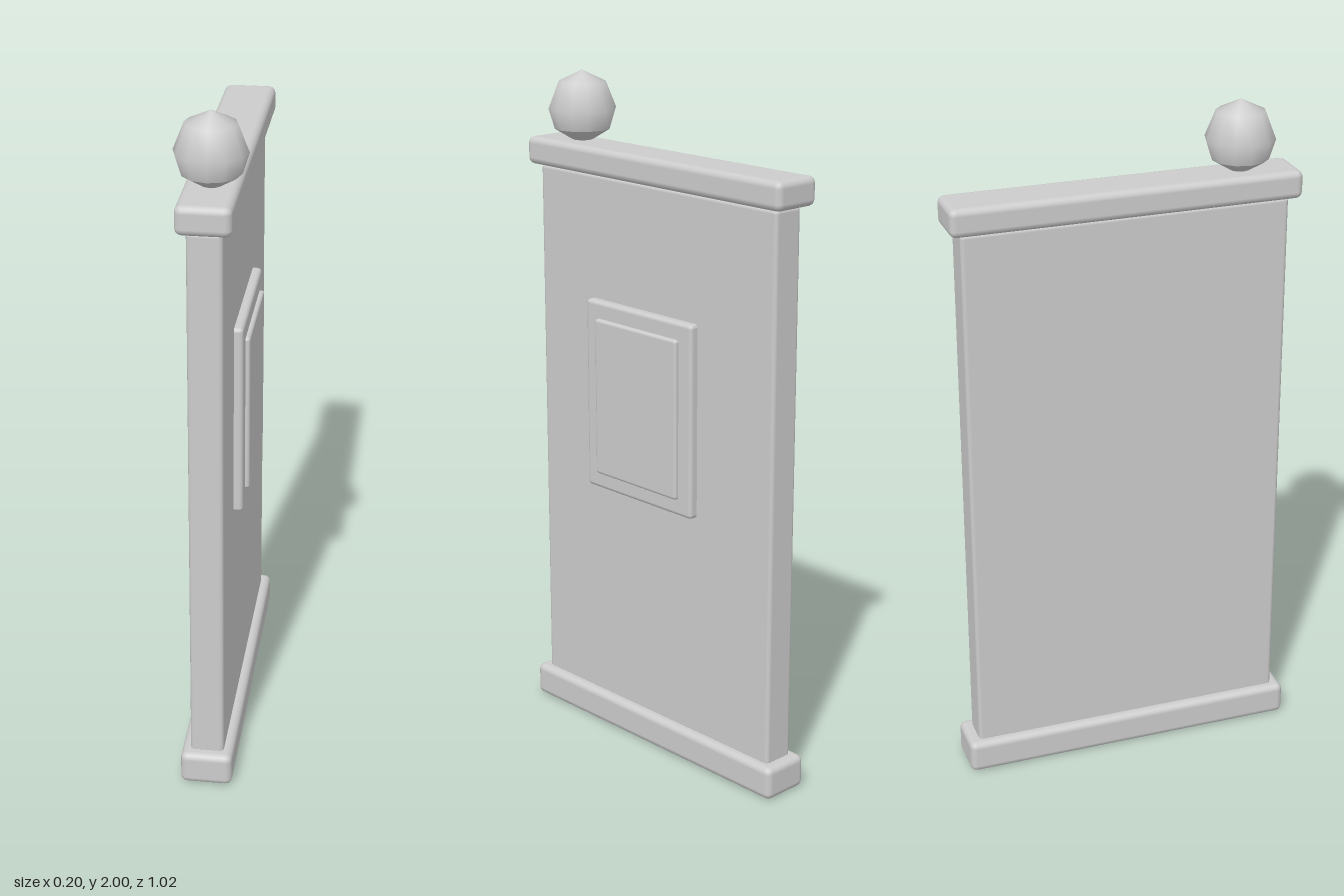
import * as THREE from 'three';
import { RoundedBoxGeometry } from 'three/addons/geometries/RoundedBoxGeometry.js';

export function createModel() {
  const group = new THREE.Group();
  const stone = new THREE.MeshStandardMaterial({ color: 0xcccccc });
  stone.name = 'pale grey';

  const add = (name, geometry) => {
    const mesh = new THREE.Mesh(geometry, stone);
    mesh.name = name;
    group.add(mesh);
    return mesh;
  };

  // Soft-edged block given by its extents on each axis
  const block = (name, [x0, x1], [y0, y1], [z0, z1], radius) =>
    add(name, new RoundedBoxGeometry(x1 - x0, y1 - y0, z1 - z0, 2, radius))
      .position.set((x0 + x1) / 2, (y0 + y1) / 2, (z0 + z1) / 2);

  // Slab with its plinth and coping
  block('wall', [-0.049, 0.048], [0.09, 1.715], [-0.477, 0.477], 0.012);
  block('plinth', [-0.075, 0.075], [0, 0.1], [-0.51, 0.51], 0.02);
  block('coping', [-0.075, 0.075], [1.715, 1.797], [-0.51, 0.51], 0.02);

  // Raised plaque on the left face
  block('plaqueFrame', [0.02, 0.074], [0.775, 1.35], [-0.185, 0.255], 0.012);
  block('plaquePanel', [0.05, 0.087], [0.825, 1.3], [-0.135, 0.205], 0.009);

  // Faceted ball finial: rounded body and a separate tapering underside
  const turned = (name, points) =>
    add(name, new THREE.LatheGeometry(points.map(([r, y]) => new THREE.Vector2(r, y)), 12))
      .position.set(0, 0, 0.343);
  turned('finialUnderside', [[0, 1.794], [0.03, 1.8], [0.082, 1.832]]);
  turned('finialBall', [[0.082, 1.832], [0.1, 1.89], [0.07, 1.966], [0, 2]]);

  return group;
}
